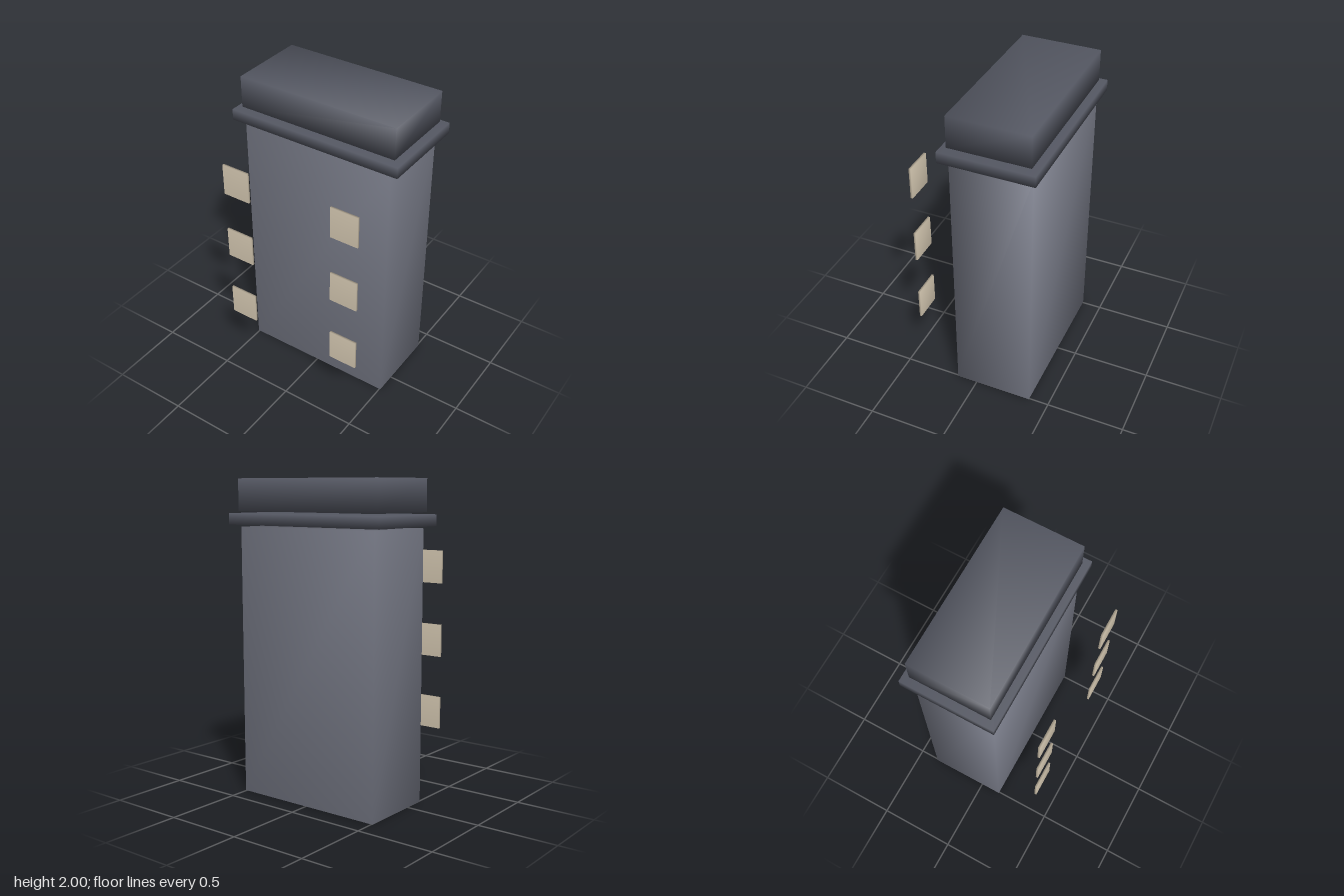
import * as THREE from 'three';
import { mergeVertices } from 'three/addons/utils/BufferGeometryUtils.js';

// Box with shared corners, so the shading runs softly over its edges
function softBox(w, h, d) {
  const box = new THREE.BoxGeometry(w, h, d);
  box.deleteAttribute('normal');
  box.deleteAttribute('uv');
  const geometry = mergeVertices(box);
  geometry.computeVertexNormals();
  return geometry;
}

export function createModel() {
  const wall = new THREE.MeshStandardMaterial({ name: 'wallGrey', color: 0x7a7d8a });
  const roof = new THREE.MeshStandardMaterial({ name: 'roofSlate', color: 0x545762 });
  const pane = new THREE.MeshStandardMaterial({ name: 'windowCream', color: 0xd9ccb5 });

  const model = new THREE.Group();
  model.name = 'towerBlock';

  function addBox(name, material, [w, h, d], [x, y, z], parent = model) {
    const mesh = new THREE.Mesh(softBox(w, h, d), material);
    mesh.name = name;
    mesh.position.set(x, y, z);
    parent.add(mesh);
  }

  // Tower, cornice and roof block, with narrow gaps between them
  const towerZ = -0.118;
  addBox('towerBody', wall, [1.014, 1.704, 0.506], [0, 0.852, towerZ]);
  addBox('cornice', roof, [1.144, 0.07, 0.588], [0, 1.752, towerZ]);
  addBox('roofBlock', roof, [1.056, 0.2, 0.506], [0, 1.9, towerZ]);

  // Window plates standing off the front, three floors on each side
  const windows = new THREE.Group();
  windows.name = 'windows';
  model.add(windows);
  for (const [side, x] of [['left', 0.383], ['right', -0.383]]) {
    for (let floor = 0; floor < 3; floor++) {
      addBox(`${side}Window${floor + 1}`, pane, [0.186, 0.206, 0.014],
        [x, 0.514 + floor * 0.469, 0.405], windows);
    }
  }
  return model;
}
